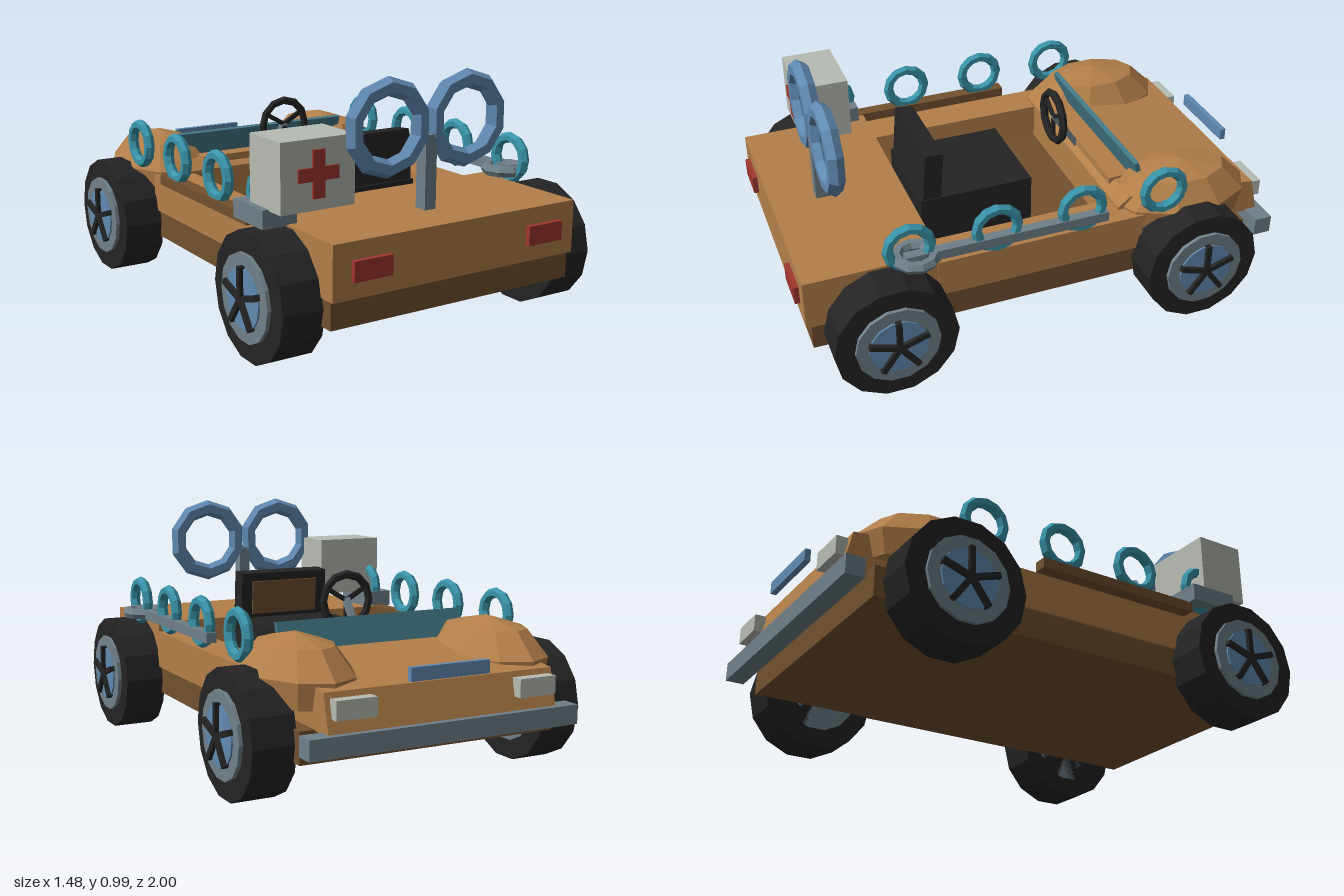
import * as THREE from 'three';

const mat = (name, color) => {
  const m = new THREE.MeshStandardMaterial({ color });
  m.name = name;
  return m;
};

export function createModel() {
  const car = new THREE.Group();
  car.name = 'openBuggy';
  const orange = mat('orange paint', 0xb37f4a);
  const brown = mat('brown chassis', 0x72512f);
  const black = mat('black rubber', 0x242424);
  const grey = mat('grey metal', 0x708088);
  const blue = mat('steel blue', 0x618ab2);
  const teal = mat('teal rings', 0x3a95aa);
  const glass = mat('dark teal glass', 0x437885);
  const pale = mat('pale grey', 0xb6bbb3);
  const red = mat('red', 0xa03630);

  // Every part is faceted
  const add = (name, geometry, material, parent = car) => {
    const g = geometry.index ? geometry.toNonIndexed() : geometry;
    g.computeVertexNormals();
    const mesh = new THREE.Mesh(g, material);
    mesh.name = name;
    parent.add(mesh);
    return mesh;
  };
  // Box from its limits along each axis
  const box = (name, material, [x0, x1], [y0, y1], [z0, z1], parent) =>
    add(name, new THREE.BoxGeometry(x1 - x0, y1 - y0, z1 - z0)
      .translate((x0 + x1) / 2, (y0 + y1) / 2, (z0 + z1) / 2), material, parent);
  // Side profile of [z, y] points, extruded across the width
  const profile = (name, material, points, width) => {
    const shape = new THREE.Shape(points.map(([z, y]) => new THREE.Vector2(z, y)));
    const g = new THREE.ExtrudeGeometry(shape, { depth: width, bevelEnabled: false });
    return add(name, g.rotateY(-Math.PI / 2).translate(width / 2, 0, 0), material);
  };

  // Chassis and body
  box('chassis', brown, [-0.54, 0.54], [0.18, 0.3], [-0.88, 0.96]);
  box('rearDeck', orange, [-0.545, 0.545], [0.285, 0.49], [0.45, 0.98]);
  profile('hood', orange,
    [[-0.32, 0.295], [-0.32, 0.46], [-0.37, 0.5], [-0.45, 0.5], [-0.94, 0.44], [-0.975, 0.295]], 0.96);
  box('dashboard', orange, [-0.34, 0.34], [0.44, 0.51], [-0.42, -0.345]);
  const windscreen = add('windscreen', new THREE.BoxGeometry(0.82, 0.13, 0.02), glass);
  windscreen.position.set(0, 0.54, -0.445);
  windscreen.rotation.x = 0.25;

  for (const s of [-1, 1]) {
    const span = (a, b) => (s > 0 ? [a, b] : [-b, -a]);
    box('sideWall', orange, span(0.4, 0.55), [0.295, 0.45], [-0.4, 0.46]);

    // Domed front fender
    const dome = [[0.001, 0.36], [0.92, 0.36], [1, 0.46], [0.66, 0.56], [0.001, 0.6]];
    const fender = new THREE.LatheGeometry(dome.map(([r, y]) => new THREE.Vector2(r, y)), 10);
    add('frontFender', fender.scale(0.195, 1, 0.3).translate(s * 0.42, 0, -0.615), orange);

    box('tailLight', red, span(0.31, 0.47), [0.35, 0.425], [0.975, 1]);
    box('headlight', pale, span(0.3, 0.46), [0.35, 0.42], [-0.995, -0.95]);

    // Row of upright rings along the side
    for (const z of [0.58, 0.235, -0.115, -0.465]) {
      add('sideRing', new THREE.TorusGeometry(0.083, 0.022, 6, 12).rotateY(Math.PI / 2)
        .translate(s * 0.577, 0.575, z), teal);
    }

    // Wheels
    for (const z of [0.675, -0.605]) {
      const wheel = new THREE.Group();
      wheel.name = z > 0 ? 'rearWheel' : 'frontWheel';
      wheel.position.set(s * 0.53, 0.245, z);
      wheel.rotation.y = s > 0 ? 0 : Math.PI;
      const disc = (name, r, end, material) => add(name,
        new THREE.CylinderGeometry(r, r, end, 14).rotateZ(Math.PI / 2).translate(end / 2, 0, 0), material, wheel);
      disc('tyre', 0.242, 0.17, black);
      disc('rim', 0.165, 0.185, grey);
      disc('hubDisc', 0.115, 0.192, blue);
      for (let i = 0; i < 5; i++) {
        add('spoke', new THREE.BoxGeometry(0.025, 0.12, 0.022).translate(0.195, 0.06, 0)
          .rotateX(i * Math.PI * 0.4), black, wheel);
      }
      car.add(wheel);
    }
  }

  // Nose fittings
  box('bumper', grey, [-0.565, 0.565], [0.225, 0.3], [-1, -0.925]);
  box('noseBar', blue, [-0.165, 0.165], [0.455, 0.505], [-0.99, -0.967]);

  // Seat
  box('seatCushion', black, [-0.21, 0.21], [0.3, 0.5], [-0.055, 0.42]);
  const seatBack = new THREE.Group();
  seatBack.name = 'seatBack';
  seatBack.position.set(0, 0.49, 0.375);
  seatBack.rotation.x = -0.08;
  box('backrest', black, [-0.205, 0.205], [0, 0.21], [-0.04, 0.035], seatBack);
  box('backrestPanel', brown, [-0.155, 0.155], [0.03, 0.175], [-0.048, -0.035], seatBack);
  car.add(seatBack);

  // Steering wheel and column
  const steering = new THREE.Group();
  steering.name = 'steeringWheel';
  steering.position.set(0, 0.637, -0.24);
  add('steeringRim', new THREE.TorusGeometry(0.105, 0.017, 6, 12), black, steering);
  for (let i = 0; i < 3; i++) {
    add('steeringSpoke', new THREE.BoxGeometry(0.018, 0.1, 0.014).translate(0, 0.05, 0)
      .rotateZ(Math.PI + i * Math.PI * 2 / 3), black, steering);
  }
  car.add(steering);
  const column = add('steeringColumn', new THREE.BoxGeometry(0.025, 0.2, 0.025), grey);
  column.position.set(0, 0.56, -0.295);
  column.rotation.x = 0.6;

  // Side rails, flat coil and luggage bracket
  box('leftRail', grey, [0.56, 0.6], [0.505, 0.545], [-0.22, 0.6]);
  box('rightRail', brown, [-0.605, -0.55], [0.45, 0.49], [-0.22, 0.5]);
  add('flatCoil', new THREE.TorusGeometry(0.072, 0.024, 6, 10).rotateX(Math.PI / 2)
    .translate(0.572, 0.525, 0.555), grey);
  box('boxBracket', grey, [-0.645, -0.505], [0.485, 0.555], [0.48, 0.69]);

  // Supply box with cross
  box('supplyBox', pale, [-0.62, -0.315], [0.55, 0.805], [0.56, 0.77]);
  box('crossUpright', red, [-0.493, -0.444], [0.593, 0.767], [0.768, 0.778]);
  for (const x of [-0.552, -0.444]) {
    box('crossArm', red, [x, x + 0.059], [0.656, 0.705], [0.768, 0.778]);
  }

  // Twin rear hoops on a post
  for (const s of [-1, 1]) {
    add('rearHoop', new THREE.TorusGeometry(0.15, 0.036, 6, 10).rotateZ(Math.PI / 10)
      .translate(s * 0.177, 0.81, 0.772), blue);
  }
  box('hoopPost', grey, [-0.025, 0.025], [0.49, 0.77], [0.745, 0.8]);

  return car;
}
